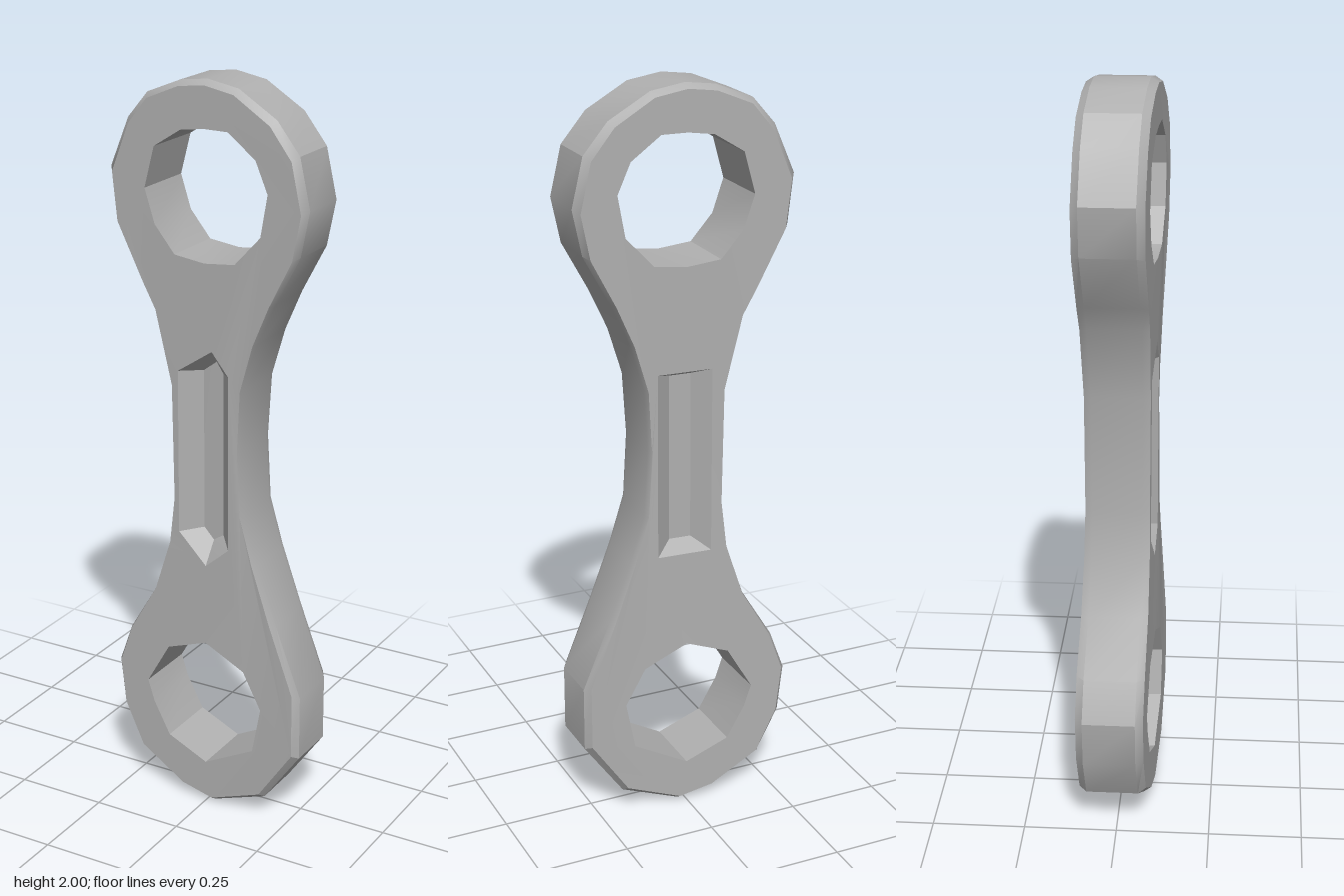
import * as THREE from 'three';
import { mergeGeometries, toCreasedNormals } from 'three/addons/utils/BufferGeometryUtils.js';

// All loops run clockwise as seen from the front (+z).
const OUTLINE = [
  [0, 2], [0.09, 1.985], [0.2, 1.92], [0.265, 1.84], [0.295, 1.71], [0.27, 1.59], [0.2, 1.46], [0.15, 1.35],
  [0.11, 1.22], [0.1, 1.05], [0.11, 0.87], [0.15, 0.74], [0.21, 0.58], [0.287, 0.39], [0.287, 0.21],
  [0.18, 0.06], [0.02, 0], [-0.08, 0.02], [-0.22, 0.1], [-0.28, 0.22], [-0.295, 0.35], [-0.255, 0.46],
  [-0.17, 0.6], [-0.12, 0.75], [-0.105, 0.88], [-0.11, 1.2], [-0.16, 1.4], [-0.2, 1.47],
  [-0.28, 1.62], [-0.295, 1.75], [-0.24, 1.88], [-0.18, 1.95], [-0.08, 1.99],
];
const TOP_HOLE = [
  [0, 1.88], [0.07, 1.88], [0.15, 1.82], [0.185, 1.74], [0.165, 1.63], [0.09, 1.55],
  [0, 1.54], [-0.09, 1.55], [-0.15, 1.62], [-0.18, 1.71], [-0.15, 1.82], [-0.07, 1.87],
];
const BOTTOM_HOLE = [
  [0, 0.485], [0.12, 0.43], [0.175, 0.33], [0.15, 0.2], [0, 0.12],
  [-0.12, 0.17], [-0.17, 0.26], [-0.19, 0.32], [-0.12, 0.44],
];
const FRONT_RIM = [[-0.085, 1.24], [0.02, 1.31], [0.07, 1.25], [0.07, 0.77], [0, 0.71], [-0.085, 0.79]];
const FRONT_FLOOR = [[-0.03, 1.24], [0.01, 1.27], [0.03, 1.24], [0.03, 0.79], [0, 0.77], [-0.03, 0.8]];
const BACK_RIM = [[-0.07, 1.26], [0.08, 1.26], [0.08, 0.75], [-0.07, 0.75]];
const BACK_FLOOR = [[-0.03, 1.24], [0.03, 1.24], [0.03, 0.78], [-0.03, 0.78]];

const FACE = 0.09, EDGE = 0.07, FLOOR = 0.045;

const vectors = (loop) => loop.map(([x, y]) => new THREE.Vector2(x, y));

// Band of faces between two loops with equal point counts
function band(a, za, b, zb) {
  const p = [];
  a.forEach((_, i) => {
    const j = (i + 1) % a.length;
    p.push(...a[i], za, ...b[j], zb, ...a[j], za, ...a[i], za, ...b[i], zb, ...b[j], zb);
  });
  return new THREE.BufferGeometry().setAttribute('position', new THREE.Float32BufferAttribute(p, 3));
}

// Flat face with holes, facing +z or -z
function cap(loop, holes, z) {
  const shape = new THREE.Shape(vectors(loop));
  holes.forEach((h) => shape.holes.push(new THREE.Path(vectors(h))));
  const g = new THREE.ShapeGeometry(shape);
  if (z < 0) g.index.array.reverse();
  g.translate(0, 0, z);
  const flat = g.toNonIndexed();
  flat.deleteAttribute('uv');
  flat.deleteAttribute('normal');
  return flat;
}

// Merge, lean the faces slightly across x, and keep sharp edges
function finish(parts) {
  const g = mergeGeometries(parts);
  const p = g.attributes.position;
  for (let i = 0; i < p.count; i++) {
    const waist = 1 - 0.08 * Math.max(0, 1 - Math.abs(p.getY(i) - 1) / 0.5);
    p.setZ(i, p.getZ(i) * waist + 0.06 * p.getX(i));
  }
  return toCreasedNormals(g, 0.45);
}

export function createModel() {
  const group = new THREE.Group();
  group.name = 'connectingLink';
  const metal = new THREE.MeshStandardMaterial({ color: 0xb0b0b0 });
  metal.name = 'grey metal';
  const add = (name, parts) => {
    const mesh = new THREE.Mesh(finish(parts), metal);
    mesh.name = name;
    group.add(mesh);
  };

  // Link body with chamfered rim and two eyes
  const inset = OUTLINE.map(([x, y]) => [x * 0.95, 1 + (y - 1) * 0.987]);
  add('linkBody', [
    cap(inset, [TOP_HOLE, BOTTOM_HOLE, FRONT_RIM], FACE),
    cap(inset, [TOP_HOLE, BOTTOM_HOLE, BACK_RIM], -FACE),
    band(inset, -FACE, OUTLINE, -EDGE),
    band(OUTLINE, -EDGE, OUTLINE, EDGE),
    band(OUTLINE, EDGE, inset, FACE),
  ]);
  add('topEyeWall', [band(TOP_HOLE, FACE, TOP_HOLE, -FACE)]);
  add('bottomEyeWall', [band(BOTTOM_HOLE, FACE, BOTTOM_HOLE, -FACE)]);

  // Sloped grooves sunk into the shank
  add('frontGroove', [band(FRONT_RIM, FACE, FRONT_FLOOR, FLOOR), cap(FRONT_FLOOR, [], FLOOR)]);
  add('backGroove', [band(BACK_FLOOR, -FLOOR, BACK_RIM, -FACE), cap(BACK_FLOOR, [], -FLOOR)]);
  return group;
}
